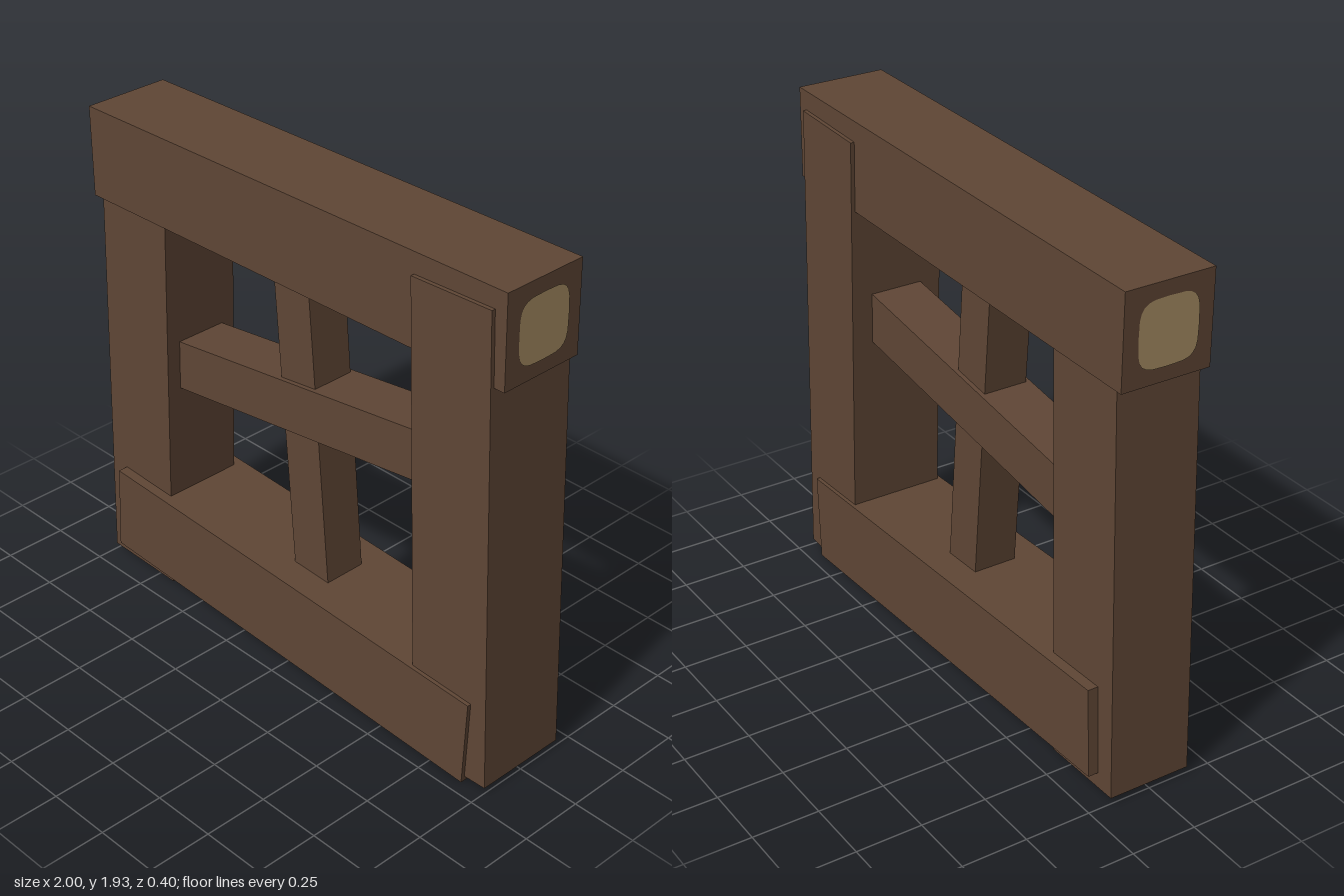
import * as THREE from 'three';

const wood = new THREE.MeshStandardMaterial({ color: 0x5f4635 });
wood.name = 'brown wood';
const cutWood = new THREE.MeshStandardMaterial({ color: 0xa98e64 });
cutWood.name = 'pale end grain';

// Rounded patch of bare wood, facing +x
function endGrainGeometry(halfZ, halfY) {
  const points = [];
  for (let i = 0; i < 24; i++) {
    const a = (i / 24) * Math.PI * 2;
    const c = Math.cos(a), s = Math.sin(a);
    points.push(new THREE.Vector2(
      halfZ * Math.sign(c) * Math.pow(Math.abs(c), 0.5),
      halfY * Math.sign(s) * Math.pow(Math.abs(s), 0.5)
    ));
  }
  return new THREE.ShapeGeometry(new THREE.Shape(points)).rotateY(Math.PI / 2);
}

// Squared timber lying along local x, turned by angle in the frame plane.
// ends lists the ends (-1 or 1) that show their end grain.
function timber(name, length, width, depth, x, y, angle, ends = []) {
  const group = new THREE.Group();
  group.name = name;
  const beam = new THREE.Mesh(new THREE.BoxGeometry(length, width, depth), wood);
  beam.name = name + 'Beam';
  group.add(beam);
  for (const side of ends) {
    const patch = new THREE.Mesh(endGrainGeometry(0.115, 0.12), cutWood);
    patch.name = name + 'EndGrain';
    patch.position.x = side * (length / 2 + 0.003);
    if (side < 0) patch.rotation.y = Math.PI;
    group.add(patch);
  }
  group.position.set(x, y, 0);
  group.rotation.z = angle;
  return group;
}

export function createModel() {
  const model = new THREE.Group();
  model.name = 'crookedWindowFrame';
  const up = Math.PI / 2;

  // Outer frame
  model.add(timber('topRail', 1.985, 0.345, 0.34, -0.008, 1.743, 0.015, [-1, 1]));
  model.add(timber('bottomRail', 1.832, 0.343, 0.4, -0.002, 0.214, -0.0445));
  model.add(timber('leftPost', 1.835, 0.34, 0.37, 0.797, 0.935, up + 0.0355, [-1]));
  model.add(timber('rightPost', 1.83, 0.34, 0.32, -0.808, 0.935, up - 0.024, [-1]));

  // Crossed bars, with their ends sunk into the frame
  model.add(timber('uprightBar', 1.5, 0.17, 0.17, -0.01, 0.98, up + 0.084));
  model.add(timber('crossBar', 1.5, 0.195, 0.205, -0.012, 1.054, 0.131));

  return model;
}
